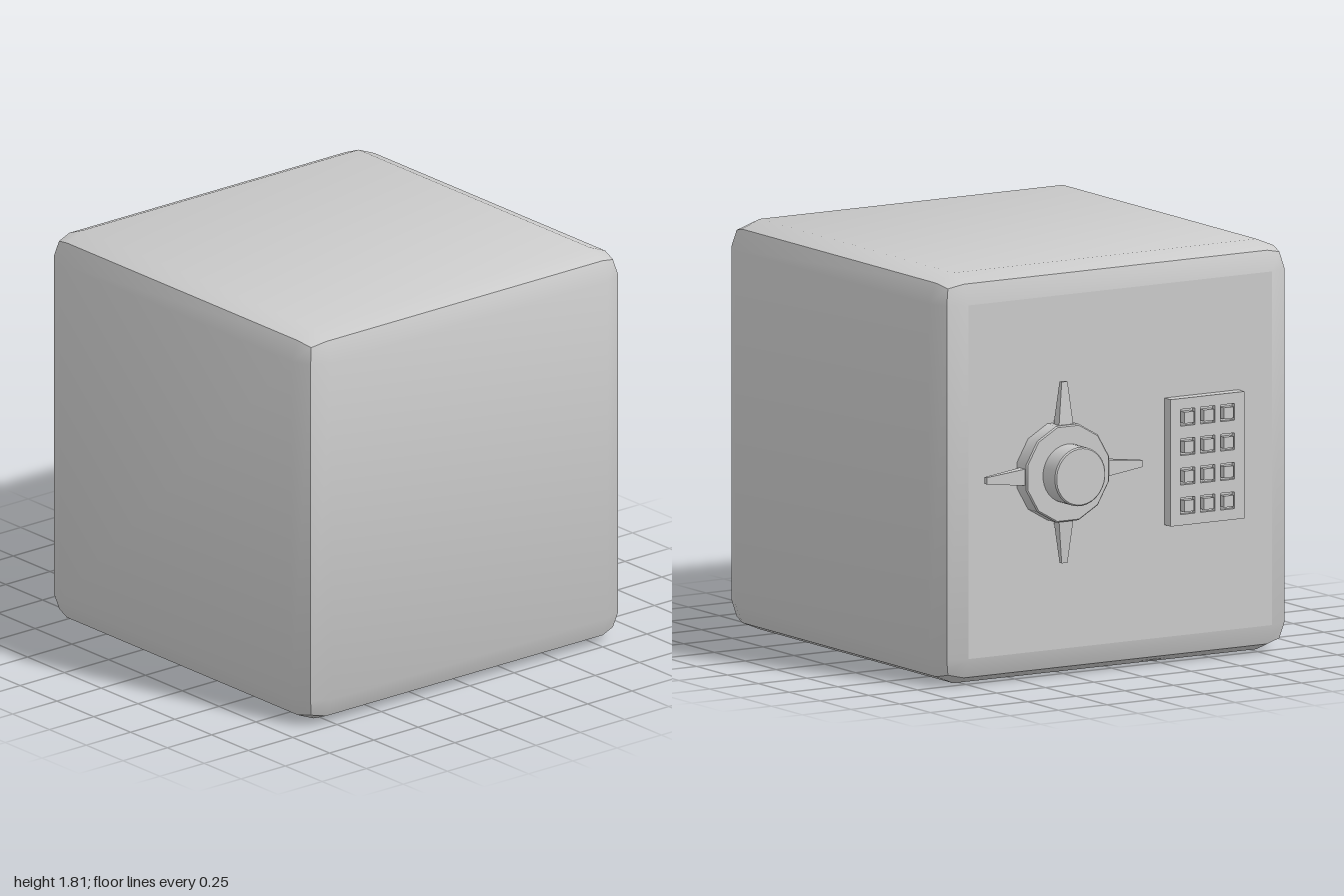
import * as THREE from 'three';
import { toCreasedNormals } from 'three/addons/utils/BufferGeometryUtils.js';
import { RoundedBoxGeometry } from 'three/addons/geometries/RoundedBoxGeometry.js';

const grey = new THREE.MeshStandardMaterial({ color: 0xcccccc });

function add(parent, name, geometry, x = 0, y = 0, z = 0) {
  const mesh = new THREE.Mesh(geometry, grey);
  mesh.name = name;
  mesh.position.set(x, y, z);
  parent.add(mesh);
  return mesh;
}

// Two-step bevelled block, smooth across each side and sharp along the middle of the bevels
function bodyGeometry() {
  const geo = toCreasedNormals(new RoundedBoxGeometry(1.818, 1.81, 1.81, 1, 0.125), 0.6);
  const p = geo.attributes.position, n = geo.attributes.normal;
  // Keep the door side flat
  for (let i = 0; i < p.count; i += 3) {
    if ([0, 1, 2].every(k => p.getX(i + k) < -0.908)) {
      for (let k = 0; k < 3; k++) n.setXYZ(i + k, -1, 0, 0);
    }
  }
  return geo;
}

// Disc along +z with a slightly bevelled front rim
function disc(radius, z0, z1, sides, bevel, crease) {
  const profile = [[0, z0], [radius, z0], [radius, z1 - bevel], [radius - bevel, z1], [0, z1]];
  const geo = new THREE.LatheGeometry(profile.map(([r, z]) => new THREE.Vector2(r, z)), sides, Math.PI / sides);
  geo.rotateX(Math.PI / 2);
  return toCreasedNormals(geo, crease);
}

// Tapered four-sided handle pointing up +y
function spikeGeometry() {
  const geo = new THREE.CylinderGeometry(0.021, 0.057, 0.22, 4, 1).toNonIndexed();
  geo.rotateY(Math.PI / 4);
  geo.scale(1, 1, 0.6);
  geo.translate(0, 0.29, 0);
  geo.computeVertexNormals();
  return geo;
}

function square(cx, cy, half, Type) {
  const s = new Type();
  s.moveTo(cx - half, cy - half);
  s.lineTo(cx - half, cy + half);
  s.lineTo(cx + half, cy + half);
  s.lineTo(cx + half, cy - half);
  s.closePath();
  return s;
}

function createDial() {
  const dial = new THREE.Group();
  dial.name = 'dial';
  add(dial, 'dialHub', disc(0.22, -0.01, 0.08, 12, 0.006, 0.6));
  add(dial, 'dialKnob', disc(0.13, 0.07, 0.182, 32, 0.006, 0.5));
  for (let i = 0; i < 4; i++) {
    add(dial, 'dialSpike', spikeGeometry(), 0, 0, 0.042).rotation.z = i * Math.PI / 2;
  }
  return dial;
}

function createKeypad() {
  const keypad = new THREE.Group();
  keypad.name = 'keypad';
  const face = new THREE.Shape();
  face.moveTo(-0.19, -0.28);
  face.lineTo(0.19, -0.28);
  face.lineTo(0.19, 0.28);
  face.lineTo(-0.19, 0.28);
  face.closePath();
  // Buttons stand in shallow square wells
  for (let row = 0; row < 4; row++) {
    for (let col = 0; col < 3; col++) {
      const x = (col - 1) * 0.102, y = (row - 1.5) * 0.13;
      face.holes.push(square(x, y, 0.037, THREE.Path));
      add(keypad, 'keypadButton', new THREE.BoxGeometry(0.05, 0.05, 0.036), x, y, 0.043);
    }
  }
  add(keypad, 'keypadBack', new THREE.BoxGeometry(0.38, 0.56, 0.04), 0, 0, 0.01);
  add(keypad, 'keypadFrame', new THREE.ExtrudeGeometry(face, { depth: 0.02, bevelEnabled: false }), 0, 0, 0.03);
  return keypad;
}

export function createModel() {
  const model = new THREE.Group();
  model.name = 'safe';
  add(model, 'body', bodyGeometry(), 0.091, 0.905, 0);

  // Fittings face -x; inside this group +z points outwards and +x is the model's front
  const fittings = new THREE.Group();
  fittings.name = 'doorFittings';
  fittings.rotation.y = -Math.PI / 2;
  fittings.position.set(-0.818, 0, 0);
  model.add(fittings);

  const dial = createDial();
  dial.position.set(-0.318, 0.912, 0);
  const keypad = createKeypad();
  keypad.position.set(0.418, 0.9, 0);
  fittings.add(dial, keypad);
  return model;
}
